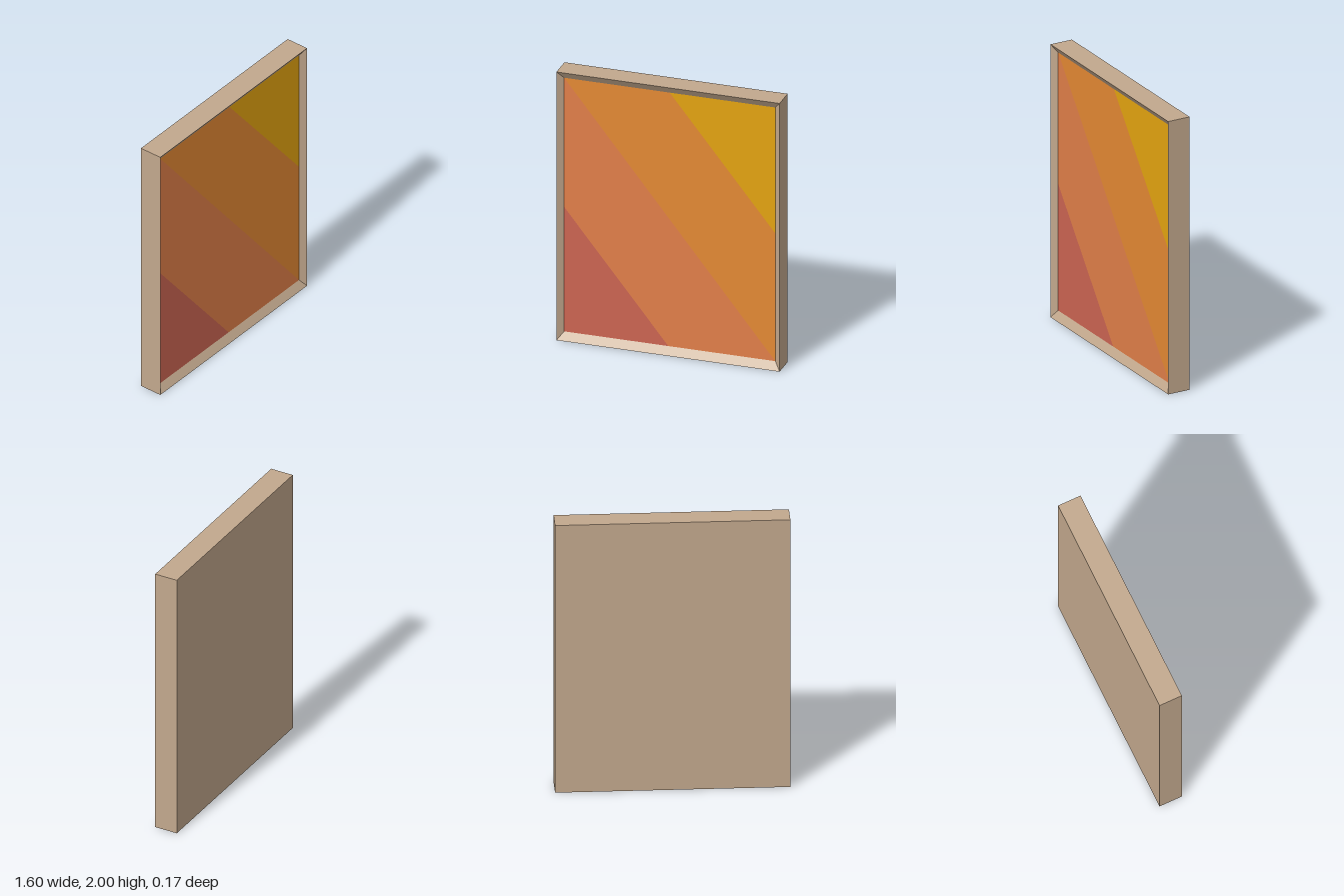
import * as THREE from 'three';

const W = 0.8, H = 2, D = 0.084;              // outer half width, height, half depth
const IX = 0.757, Y0 = 0.057, Y1 = 1.948;     // inner picture opening
const IZ = D - 0.036;                         // recessed picture plane

const material = (name, color) => {
  const m = new THREE.MeshStandardMaterial({ color });
  m.name = name;
  return m;
};

// Counter-clockwise rectangle seen from the front
const ring = (x, y0, y1, z) => [[-x, y0, z], [x, y0, z], [x, y1, z], [-x, y1, z]];

// Closed back, outer walls and inward sloping border
function frameGeometry() {
  const rings = [ring(W, 0, H, -D), ring(W, 0, H, D), ring(IX, Y0, Y1, IZ)];
  const pos = [];
  const quad = (a, b, c, d) => pos.push(...a, ...b, ...c, ...a, ...c, ...d);
  const [b0, b1, b2, b3] = rings[0];
  quad(b3, b2, b1, b0);
  for (let r = 0; r < 2; r++) {
    for (let i = 0; i < 4; i++) {
      const j = (i + 1) % 4;
      quad(rings[r][i], rings[r][j], rings[r + 1][j], rings[r + 1][i]);
    }
  }
  const g = new THREE.BufferGeometry();
  g.setAttribute('position', new THREE.Float32BufferAttribute(pos, 3));
  g.computeVertexNormals();
  return g;
}

export function createModel() {
  const group = new THREE.Group();
  group.name = 'framedPicture';

  const add = (name, geometry, mat) => {
    const mesh = new THREE.Mesh(geometry, mat);
    mesh.name = name;
    group.add(mesh);
    return mesh;
  };

  add('frame', frameGeometry(), material('frameWood', 0xc2a88d));

  // Diagonal colour bands of the picture
  const bands = [
    ['redCorner', 0xcc6552, [[-IX, Y0], [-0.01, Y0], [-IX, 0.985]]],
    ['salmonBand', 0xe17f49, [[-0.01, Y0], [IX, Y0], [-IX, Y1], [-IX, 0.985]]],
    ['orangeBand', 0xe48933, [[IX, Y0], [IX, 1.01], [0, Y1], [-IX, Y1]]],
    ['yellowCorner', 0xe4a410, [[IX, 1.01], [IX, Y1], [0, Y1]]],
  ];
  for (const [name, color, pts] of bands) {
    const shape = new THREE.Shape(pts.map(([x, y]) => new THREE.Vector2(x, y)));
    add(name, new THREE.ShapeGeometry(shape), material(name + 'Paint', color)).position.z = IZ;
  }

  return group;
}
